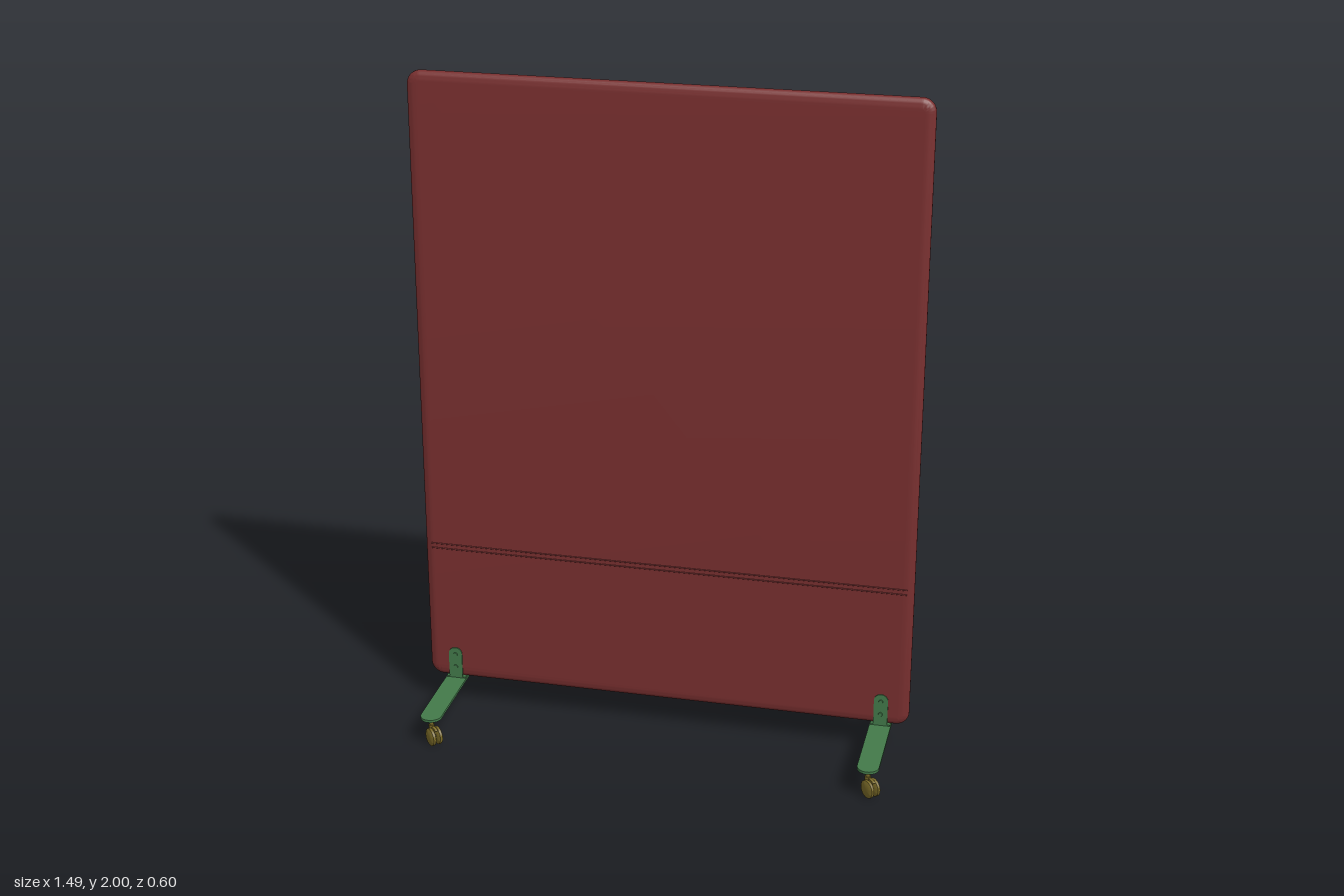
import * as THREE from 'three';
import { toCreasedNormals } from 'three/addons/utils/BufferGeometryUtils.js';

const red = new THREE.MeshStandardMaterial({ color: 0x7a3030 });
const green = new THREE.MeshStandardMaterial({ color: 0x437a4a });
const olive = new THREE.MeshStandardMaterial({ color: 0x7a6a28 });
const Z = -0.007; // centre plane of the screen

function add(parent, name, geometry, material, x = 0, y = 0, z = 0) {
  const mesh = new THREE.Mesh(geometry, material);
  mesh.name = name;
  mesh.position.set(x, y, z);
  parent.add(mesh);
  return mesh;
}

// Rectangle with rounded corners, bottom and top radii given apart
function roundedRect(w, h, rBottom, rTop) {
  const s = new THREE.Shape(), x = w / 2, y = h / 2;
  s.moveTo(-x + rBottom, -y);
  s.lineTo(x - rBottom, -y);
  if (rBottom) s.absarc(x - rBottom, -y + rBottom, rBottom, -Math.PI / 2, 0);
  s.lineTo(x, y - rTop);
  s.absarc(x - rTop, y - rTop, rTop, 0, Math.PI / 2);
  s.lineTo(-x + rTop, y);
  s.absarc(-x + rTop, y - rTop, rTop, Math.PI / 2, Math.PI);
  s.lineTo(-x, -y + rBottom);
  if (rBottom) s.absarc(-x + rBottom, -y + rBottom, rBottom, Math.PI, Math.PI * 1.5);
  return s;
}

// Upholstered board with soft edges and a seam across both faces
function makePanel() {
  const panel = new THREE.Group();
  panel.name = 'panel';
  const geo = new THREE.ExtrudeGeometry(roundedRect(1.49, 1.905, 0.04, 0.04), {
    depth: 0.008, bevelThickness: 0.015, bevelSize: 0.028, bevelOffset: -0.028,
    bevelSegments: 6, curveSegments: 8,
  });
  geo.translate(0, 0, -0.004);
  add(panel, 'board', toCreasedNormals(geo, 0.7), red, 0, 1.0475, Z);
  for (const side of [-1, 1]) {
    for (const y of [0.53, 0.545]) {
      const seam = new THREE.CylinderGeometry(0.002, 0.002, 1.45, 6);
      seam.rotateZ(Math.PI / 2);
      add(panel, 'seam', seam, red, 0, y, Z + side * 0.0188);
    }
  }
  return panel;
}

// Swivel caster: twin wheels trailing along local +z behind the stem
function makeCaster() {
  const caster = new THREE.Group();
  caster.name = 'caster';
  const trail = 0.015, r = 0.028;
  add(caster, 'mountPlate', new THREE.CylinderGeometry(0.011, 0.011, 0.005, 16), olive, 0, 0.082, 0);
  add(caster, 'stem', new THREE.CylinderGeometry(0.006, 0.006, 0.045, 12), olive, 0, 0.062, 0);
  const axle = new THREE.CylinderGeometry(0.005, 0.005, 0.034, 12);
  add(caster, 'axle', axle.rotateZ(Math.PI / 2), olive, 0, r, trail);
  // Rounded wheel profile turned about the axle
  const profile = [[0, -0.007], [0.022, -0.007], [0.027, -0.004], [r, 0],
    [0.027, 0.004], [0.022, 0.007], [0, 0.007]].map(([x, y]) => new THREE.Vector2(x, y));
  for (const side of [-1, 1]) {
    const wheel = toCreasedNormals(new THREE.LatheGeometry(profile, 24), 0.6);
    add(caster, 'wheel', wheel.rotateZ(Math.PI / 2), olive, side * 0.011, r, trail);
  }
  // Hood arching over the gap between the wheels
  const hood = new THREE.CylinderGeometry(0.03, 0.03, 0.009, 20, 1, false, Math.PI * 0.3, Math.PI * 1.1);
  add(caster, 'hood', hood.rotateZ(Math.PI / 2), olive, 0, r, trail).material = olive;
  add(caster, 'socket', new THREE.CylinderGeometry(0.009, 0.009, 0.03, 12), olive, 0, 0.046, 0);
  return caster;
}

// Upright tab bolted to one face of the board
function makeBracket() {
  const bracket = new THREE.Group();
  bracket.name = 'bracket';
  const tab = new THREE.ExtrudeGeometry(roundedRect(0.042, 0.105, 0, 0.0205), {
    depth: 0.004, bevelEnabled: false, curveSegments: 8,
  });
  add(bracket, 'tab', toCreasedNormals(tab, 0.6), green, 0, 0.1425, 0.0185);
  add(bracket, 'flange', new THREE.BoxGeometry(0.06, 0.004, 0.022), green, 0, 0.094, 0.0115);
  for (const y of [0.13, 0.172]) {
    const bolt = new THREE.CylinderGeometry(0.006, 0.007, 0.003, 12);
    add(bracket, 'bolt', bolt.rotateX(Math.PI / 2), green, 0, y, 0.0235);
  }
  return bracket;
}

// Flat foot with round ends, a bracket on each face and two casters
function makeFoot(x) {
  const foot = new THREE.Group();
  foot.name = x > 0 ? 'leftFoot' : 'rightFoot';
  foot.position.set(x, 0, Z);
  const bar = new THREE.ExtrudeGeometry(roundedRect(0.064, 0.596, 0.0319, 0.0319), {
    depth: 0.008, bevelEnabled: false, curveSegments: 10,
  });
  bar.rotateX(-Math.PI / 2);
  add(foot, 'footBar', toCreasedNormals(bar, 0.6), green, 0, 0.084, 0);
  for (const side of [-1, 1]) {
    const bracket = makeBracket();
    if (side < 0) bracket.rotation.y = Math.PI;
    foot.add(bracket);
    const caster = makeCaster();
    caster.position.z = side * 0.266;
    caster.rotation.y = Math.PI / 4;
    foot.add(caster);
  }
  return foot;
}

export function createModel() {
  const model = new THREE.Group();
  model.name = 'rollingScreen';
  model.add(makePanel(), makeFoot(-0.662), makeFoot(0.662));
  return model;
}
